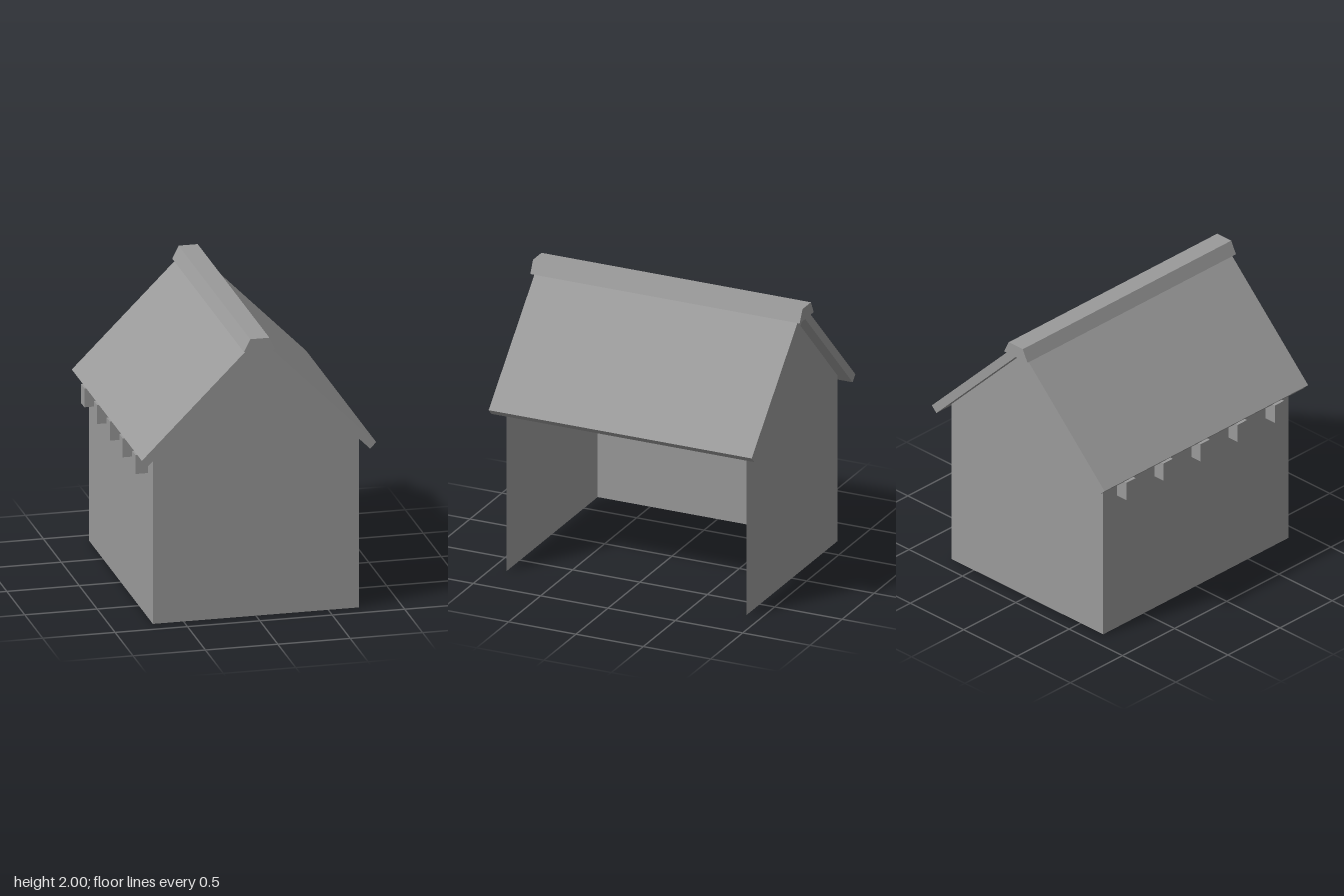
import * as THREE from 'three';

export function createModel() {
  const house = new THREE.Group();
  house.name = 'house';
  const solid = new THREE.MeshStandardMaterial({ color: 0x9a9a9a, flatShading: true });
  const thin = new THREE.MeshStandardMaterial({ color: 0x9a9a9a, flatShading: true, side: THREE.DoubleSide });

  const halfW = 0.712, halfD = 0.89, apex = 1.916, eave = apex - halfW;

  const add = (name, geometry, material) => {
    const mesh = new THREE.Mesh(geometry, material);
    mesh.name = name;
    house.add(mesh);
    return mesh;
  };
  const polygon = (points) => new THREE.Shape(points.map(([x, y]) => new THREE.Vector2(x, y)));

  // Front and back gable walls, thin sheets
  const gable = polygon([[-halfW, 0], [halfW, 0], [halfW, eave], [0, apex], [-halfW, eave]]);
  add('frontGable', new THREE.ShapeGeometry(gable), thin).position.z = halfD;
  const back = add('backGable', new THREE.ShapeGeometry(gable), thin);
  back.position.z = -halfD;
  back.rotation.y = Math.PI;

  // Single side wall; the opposite side is open
  const wall = add('sideWall', new THREE.PlaneGeometry(2 * halfD, eave), thin);
  wall.rotation.y = -Math.PI / 2;
  wall.position.set(-halfW, eave / 2, 0);

  // Two roof slabs at 45 degrees meeting along the ridge
  const run = 0.767, thickness = 0.06, off = thickness / 2 * Math.SQRT1_2;
  for (const side of [-1, 1]) {
    const slab = add(side < 0 ? 'rightRoofSlab' : 'leftRoofSlab',
      new THREE.BoxGeometry(run * Math.SQRT2, thickness, 1.953), solid);
    slab.rotation.z = -side * Math.PI / 4;
    slab.position.set(side * (run / 2 + off), apex - run / 2 + off, 0);
  }

  // Tapered ridge cap
  const cap = polygon([[-0.11, 1.912], [0.11, 1.912], [0.066, 2], [-0.066, 2]]);
  add('ridgeCap', new THREE.ExtrudeGeometry(cap, { depth: 2, bevelEnabled: false }), solid).position.z = -1;

  // Row of beam ends under the eave of the closed side
  const reach = 0.086;
  for (let i = -2; i <= 2; i++) {
    add('beamEnd', new THREE.BoxGeometry(reach, 0.134, 0.09), solid)
      .position.set(-halfW - reach / 2 - 0.001, 1.092, i * 0.356);
  }
  return house;
}
